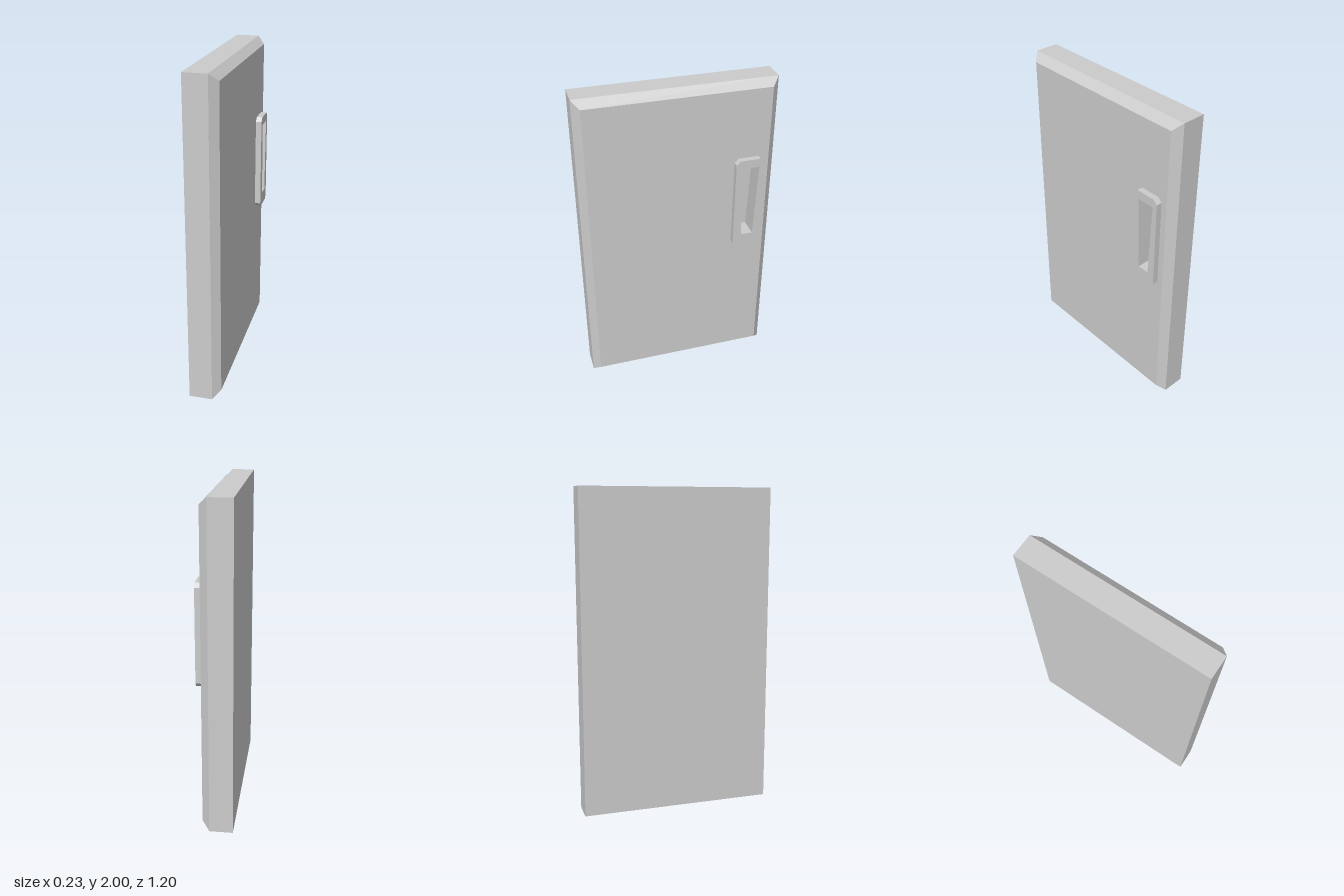
import * as THREE from 'three';

// The door is drawn in its own plane (x across, y up, z outward), then turned to face +x.
const BACK = -0.115, EDGE = 0.028, FACE = 0.075, PLATE = 0.112, FLOOR = -0.01;

const material = new THREE.MeshStandardMaterial({ color: 0xcccccc, flatShading: true });

const rect = (x0, x1, y0, y1) => [[x0, y0], [x1, y0], [x1, y1], [x0, y1]];
const toPoints = (loop) => loop.map(([x, y]) => new THREE.Vector2(x, y));

function toShape(loop, hole) {
  const shape = new THREE.Shape(toPoints(loop));
  if (hole) shape.holes.push(new THREE.Path(toPoints(hole)));
  return shape;
}

// Walls joining loop a at depth za to loop b at depth zb
function walls(a, za, b, zb) {
  const pos = [];
  a.forEach((p, i) => {
    const j = (i + 1) % a.length;
    const A = [...p, za], B = [...a[j], za], C = [...b[j], zb], D = [...b[i], zb];
    pos.push(...A, ...B, ...C, ...A, ...C, ...D);
  });
  const g = new THREE.BufferGeometry();
  g.setAttribute('position', new THREE.Float32BufferAttribute(pos, 3));
  g.computeVertexNormals();
  return g;
}

export function createModel() {
  const model = new THREE.Group();
  model.name = 'door';
  const add = (name, geometry) => {
    const mesh = new THREE.Mesh(geometry, material);
    mesh.name = name;
    model.add(mesh);
  };

  const outer = rect(-0.6, 0.6, 0, 2);
  const inner = rect(-0.555, 0.555, 0.045, 1.955);
  // Tapered grip opening, wider at the top
  const grip = [[0.394, 0.99], [0.468, 0.99], [0.486, 1.466], [0.376, 1.466]];

  // Door slab: back, sides, bevelled border and front panel
  add('doorBack', new THREE.ShapeGeometry(toShape(outer)).rotateY(Math.PI).translate(0, 0, BACK));
  add('doorSides', walls(outer, BACK, outer, EDGE));
  add('doorBevel', walls(outer, EDGE, inner, FACE));
  add('doorPanel', new THREE.ShapeGeometry(toShape(inner, grip)).translate(0, 0, FACE));

  // Handle plate with clipped corners around the opening
  const [x0, x1, y0, y1, c] = [0.34, 0.517, 0.904, 1.52, 0.025];
  const plate = [
    [x0 + c, y0], [x1 - c, y0], [x1, y0 + c], [x1, y1 - c],
    [x1 - c, y1], [x0 + c, y1], [x0, y1 - c], [x0, y0 + c],
  ];
  add('handlePlate', new THREE.ExtrudeGeometry(toShape(plate, grip), {
    depth: PLATE - FACE, bevelEnabled: false,
  }).translate(0, 0, FACE));

  // Recess behind the opening
  add('gripRecessWalls', walls(grip, FACE, grip, FLOOR));
  add('gripRecessFloor', new THREE.ShapeGeometry(toShape(grip)).translate(0, 0, FLOOR));

  model.rotation.y = Math.PI / 2;
  return model;
}
